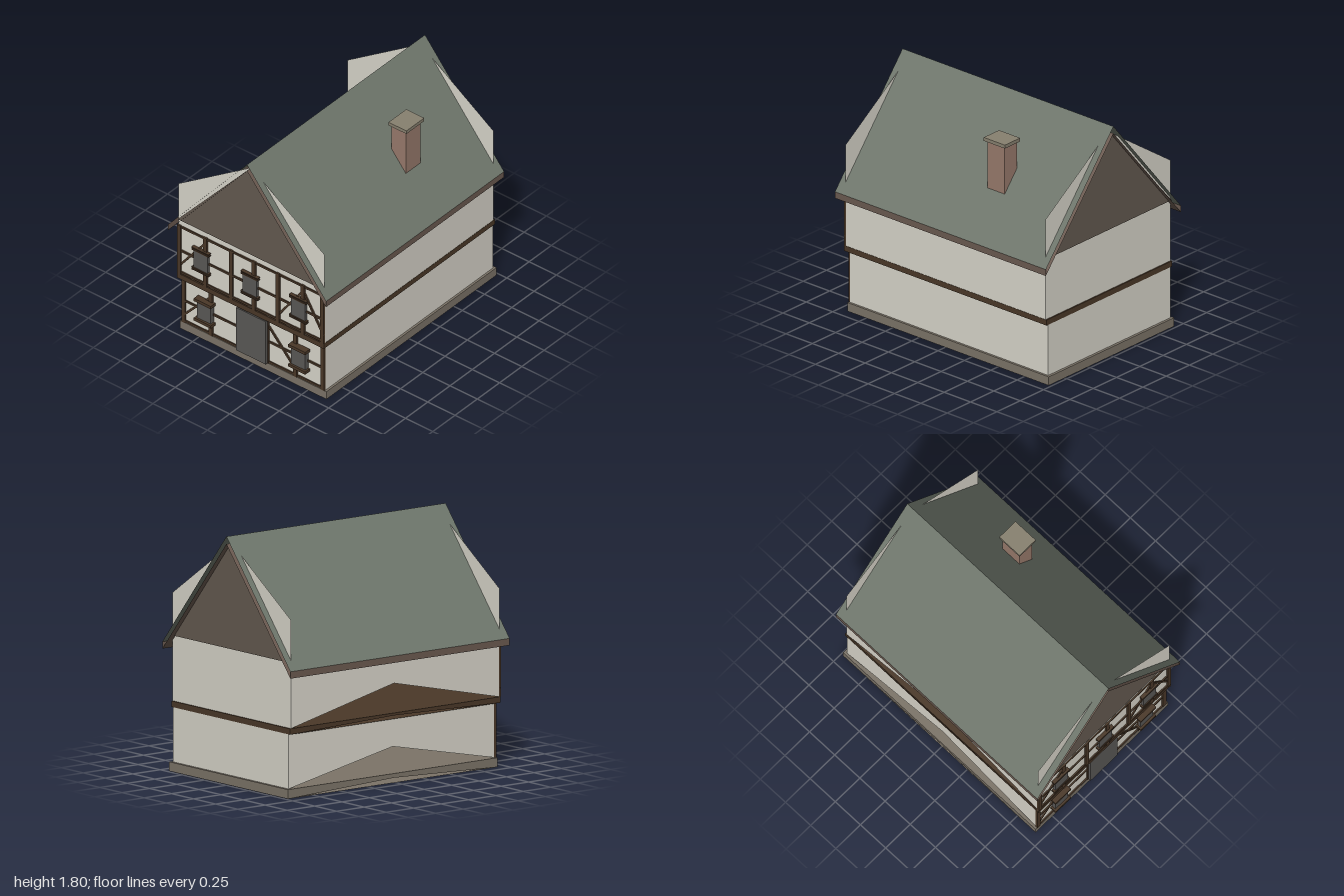
import * as THREE from 'three';

const mat = (color) => new THREE.MeshStandardMaterial({ color, side: THREE.DoubleSide, flatShading: true });
const M = {
  plaster: mat(0xd8d5ca), timber: mat(0x4a3828), stone: mat(0x7c7468), tile: mat(0x6e766b),
  gable: mat(0x645a50), brick: mat(0x987a6c), cap: mat(0x87806f), dark: mat(0x5a5856), eave: mat(0x6b5a50),
};

export function createModel() {
  const root = new THREE.Group();

  const add = (name, geo, material, parent = root) => {
    const mesh = new THREE.Mesh(geo, material);
    mesh.name = name;
    parent.add(mesh);
    return mesh;
  };

  // Flat polygons, each fanned from its first corner
  const faces = (name, polygons, material) => {
    const pos = [];
    for (const p of polygons)
      for (let i = 1; i < p.length - 1; i++) pos.push(...p[0], ...p[i], ...p[i + 1]);
    const g = new THREE.BufferGeometry();
    g.setAttribute('position', new THREE.Float32BufferAttribute(pos, 3));
    g.computeVertexNormals();
    return add(name, g, material);
  };

  const box = (name, x0, x1, y0, y1, z0, z1, material, parent) => {
    const mesh = add(name, new THREE.BoxGeometry(x1 - x0, y1 - y0, z1 - z0), material, parent);
    mesh.position.set((x0 + x1) / 2, (y0 + y1) / 2, (z0 + z1) / 2);
    return mesh;
  };

  // Storey shell whose long sides have a shallow triangular notch in the bottom edge
  const shell = (name, w, y0, y1, zb, zf, notch, material, capped) => {
    const polys = [zf, zb].map((z) => [[-w, y0, z], [w, y0, z], [w, y1, z], [-w, y1, z]]);
    for (const x of [w, -w]) {
      const side = [[x, notch, -0.01], [x, y0, zf], [x, y1, zf], [x, y1, zb], [x, y0, zb]];
      polys.push(x > 0 ? side.reverse() : side);
    }
    polys[1].reverse();
    if (capped) {
      polys.push([[-w, y1, zf], [w, y1, zf], [w, y1, zb], [-w, y1, zb]]);
      polys.push([[-w, y0, zb], [w, y0, zb], [w, y0, zf], [-w, y0, zf]]);
    }
    return faces(name, polys, material);
  };

  shell('stoneBase', 0.672, 0, 0.067, -0.98, 0.93, 0.036, M.stone, true);
  shell('lowerWalls', 0.655, 0.067, 0.462, -0.96, 0.92, 0.26, M.plaster, false);
  shell('floorBand', 0.672, 0.462, 0.505, -0.96, 0.96, 0.487, M.timber, true);
  shell('upperWalls', 0.67, 0.505, 0.98, -0.95, 0.95, 0.72, M.plaster, false);

  // Gable ends: a pale five-sided wall with a dark triangle in front
  for (const s of [1, -1]) {
    const z = s * 0.95, t = s * 0.958;
    const wall = [[0, 1.745, z], [-0.67, 1.29, z], [-0.67, 0.98, z], [0.67, 0.98, z], [0.67, 1.29, z]];
    const tri = [[0, 1.745, t], [-0.67, 0.98, t], [0.67, 0.98, t]];
    if (s < 0) { wall.reverse(); tri.reverse(); }
    faces('gableWall', [wall], M.plaster);
    faces('gableTriangle', [tri], M.gable);
  }

  // Roof: top sheets, undersides and eave strips, open at the ends
  for (const s of [1, -1]) {
    const strip = (a, b) => {
      const p = [[s * a[0], a[1], 1], [s * b[0], b[1], 1], [s * b[0], b[1], -1], [s * a[0], a[1], -1]];
      return s > 0 ? p.reverse() : p;
    };
    faces('roofSlope', [strip([0.725, 0.93], [0, 1.8])], M.tile);
    faces('roofUnderside', [strip([0, 1.745], [0.725, 0.88])], M.eave);
    faces('eave', [strip([0.725, 0.88], [0.725, 0.93])], M.eave);
  }

  // Chimney
  box('chimneyStack', 0.335, 0.465, 1.2, 1.612, -0.38, -0.215, M.brick);
  box('chimneyCap', 0.32, 0.484, 1.61, 1.637, -0.398, -0.198, M.cap);

  // Timber framing of the front
  const frame = new THREE.Group();
  frame.name = 'timberFrame';
  root.add(frame);
  const brace = (x0, y0, x1, y1, z) => {
    const len = Math.hypot(x1 - x0, y1 - y0);
    const m = add('brace', new THREE.BoxGeometry(len, 0.016, 0.014), M.timber, frame);
    m.position.set((x0 + x1) / 2, (y0 + y1) / 2, z);
    m.rotation.z = Math.atan2(y1 - y0, x1 - x0);
  };
  const storey = (z, w, y0, y1, posts, rails, braces) => {
    for (const x of posts) box('post', x - 0.016, x + 0.016, y0, y1, z - 0.005, z + 0.014, M.timber, frame);
    for (const y of rails) box('rail', -w, w, y - 0.008, y + 0.008, z - 0.005, z + 0.01, M.timber, frame);
    for (const b of braces) brace(...b, z + 0.004);
  };
  storey(0.92, 0.65, 0.067, 0.462, [-0.64, -0.39, -0.13, 0.125, 0.385, 0.637], [0.08, 0.258, 0.45],
    [[-0.64, 0.13, -0.39, 0.405], [0.14, 0.395, 0.385, 0.13]]);
  storey(0.95, 0.67, 0.505, 0.935, [-0.655, -0.415, -0.18, 0.03, 0.25, 0.48, 0.655], [0.523, 0.713, 0.923],
    [[-0.665, 0.565, -0.415, 0.885], [0.25, 0.565, 0.48, 0.885], [0.48, 0.885, 0.668, 0.575]]);

  // Door
  box('door', -0.137, 0.135, 0.07, 0.447, 0.915, 0.955, M.dark);

  // Lower windows with a solid lintel and sill
  for (const x of [-0.433, 0.433]) {
    box('lowerWindow', x - 0.064, x + 0.064, 0.185, 0.342, 0.915, 0.955, M.dark);
    for (const y of [0.178, 0.35]) box('lowerWindowLedge', x - 0.078, x + 0.078, y - 0.012, y + 0.012, 0.915, 0.972, M.timber);
  }

  // Upper windows with paired thin ledges
  for (const x of [-0.45, 0, 0.445]) {
    box('upperWindow', x - 0.064, x + 0.064, 0.638, 0.79, 0.945, 0.972, M.dark);
    for (const y of [0.62, 0.635, 0.793, 0.81])
      box('upperWindowLedge', x - 0.078, x + 0.078, y - 0.004, y + 0.004, 0.945, 0.978, M.timber);
  }

  return root;
}
